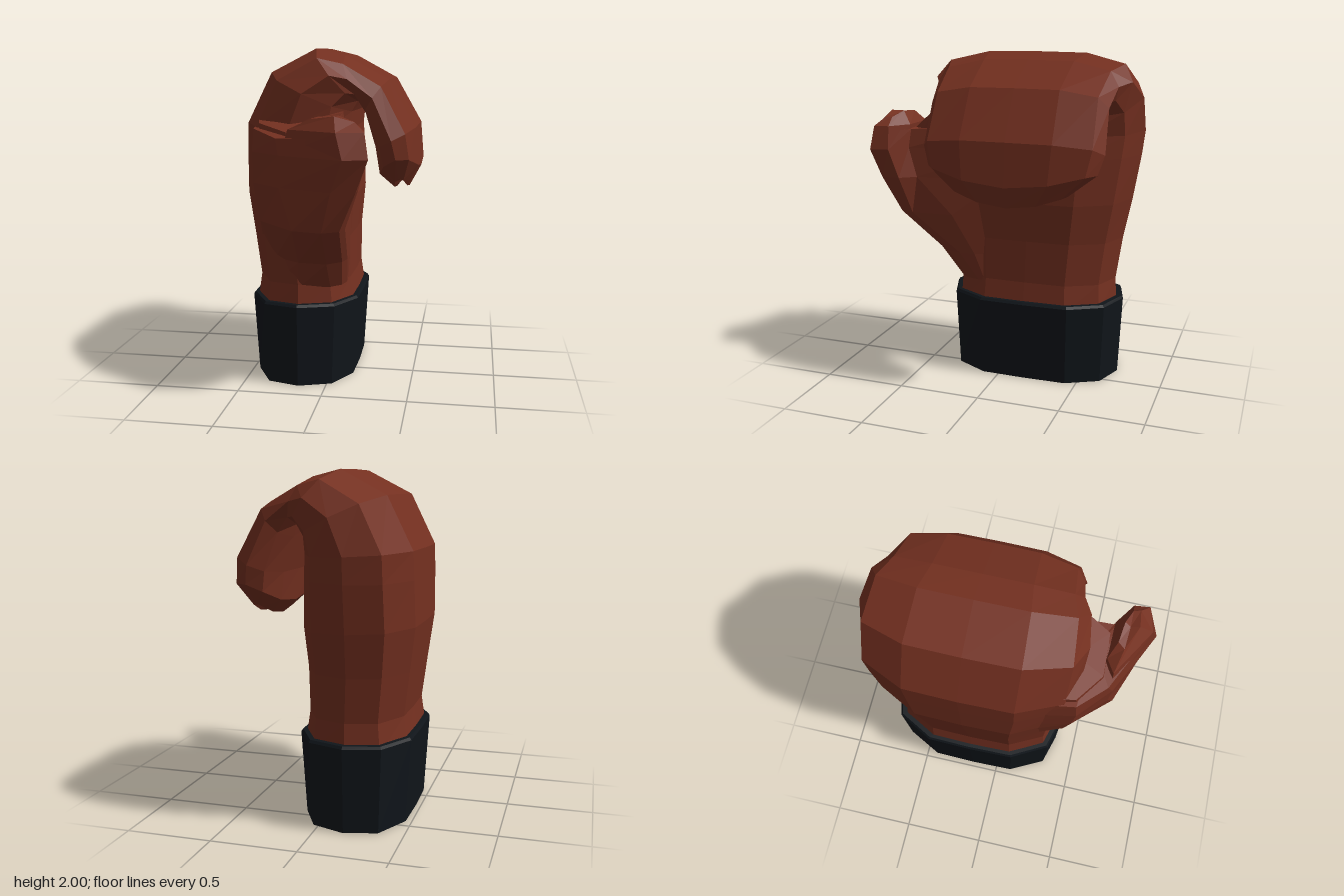
import * as THREE from 'three';

// Joins rings of [x, y, z] points (counter-clockwise seen from above) and closes both ends
function loft(rings) {
  const pos = [];
  const tri = (a, b, c) => pos.push(...a, ...b, ...c);
  const centre = (r) => [0, 1, 2].map((k) => r.reduce((s, p) => s + p[k], 0) / r.length);
  const n = rings[0].length;
  const first = rings[0], last = rings[rings.length - 1];
  const c0 = centre(first), c1 = centre(last);
  for (let j = 0; j < n; j++) {
    const k = (j + 1) % n;
    for (let i = 0; i < rings.length - 1; i++) {
      const a = rings[i][j], b = rings[i][k], c = rings[i + 1][k], d = rings[i + 1][j];
      tri(a, b, c);
      tri(a, c, d);
    }
    tri(c0, first[k], first[j]);
    tri(c1, last[j], last[k]);
  }
  const geo = new THREE.BufferGeometry();
  geo.setAttribute('position', new THREE.Float32BufferAttribute(pos, 3));
  geo.computeVertexNormals();
  return geo;
}

// Twelve-sided section: share of the thickness (outer to inner) and of the half width
const SECTION = [
  [0, 0], [0.01, 0.5], [0.19, 0.9], [0.5, 1], [0.82, 0.87], [0.99, 0.5],
  [1, 0], [0.99, -0.5], [0.82, -0.87], [0.5, -1], [0.19, -0.9], [0.01, -0.5],
];

// Ring between an outer and an inner point; lift raises its two ends
const section = ([ox, oy, ix, iy, zc, half, lift = 0]) =>
  SECTION.map(([u, w]) => [ox + (ix - ox) * u, oy + (iy - oy) * u + lift * w * w, zc + half * w]);

export function createModel() {
  const group = new THREE.Group();
  const leather = new THREE.MeshStandardMaterial({ color: 0x743020, flatShading: true });
  const cloth = new THREE.MeshStandardMaterial({ color: 0x10151a, flatShading: true });
  const add = (name, rings, material) => {
    const mesh = new THREE.Mesh(loft(rings), material);
    mesh.name = name;
    group.add(mesh);
  };

  // Cuff with a slightly bevelled rim
  add('cuff', [
    [-0.47, 0, 0.14, 0, -0.167, 0.532],
    [-0.5, 0.49, 0.17, 0.49, -0.168, 0.553],
    [-0.49, 0.505, 0.16, 0.505, -0.168, 0.543],
  ].map(section), cloth);

  // Hand from the wrist up over the knuckles and down to the curled fingertips:
  // outer x, y, inner x, y, centre z, half width, lift
  add('hand', [
    [-0.475, 0.45, 0.145, 0.45, -0.165, 0.515],
    [-0.45, 0.62, 0.12, 0.62, -0.165, 0.505],
    [-0.485, 0.88, 0.12, 0.88, -0.175, 0.53],
    [-0.52, 1.14, 0.14, 1.12, -0.18, 0.575],
    [-0.515, 1.4, 0.13, 1.4, -0.18, 0.62],
    [-0.51, 1.56, 0.12, 1.53, -0.185, 0.632],
    [-0.36, 1.86, 0.13, 1.63, -0.18, 0.635],
    [-0.09, 2.0, 0.16, 1.69, -0.175, 0.6],
    [0.08, 1.96, 0.18, 1.69, -0.17, 0.545],
    [0.34, 1.82, 0.2, 1.62, -0.17, 0.525],
    [0.5, 1.54, 0.26, 1.42, -0.17, 0.535],
    [0.52, 1.29, 0.285, 1.23, -0.17, 0.5, 0.11],
    [0.45, 1.16, 0.37, 1.15, -0.16, 0.35, 0.09],
  ].map(section), leather);

  const level = ([y, ...points]) => points.map(([x, z, dy = 0]) => [x, y + dy, z]);

  // Thumb base growing out of the front of the hand: height, then x, z points
  add('thumbBase', [
    [0.6, [-0.38, 0.1], [-0.33, 0.22], [-0.16, 0.32], [0.02, 0.28], [0.08, 0.22], [0.1, 0.14], [0.1, 0.1], [0.08, 0]],
    [0.77, [-0.42, 0.1], [-0.31, 0.28], [-0.15, 0.4], [0.02, 0.42], [0.1, 0.34], [0.12, 0.26], [0.12, 0.16], [0.08, 0]],
    [1.01, [-0.46, 0.1], [-0.37, 0.4], [-0.13, 0.66], [0.04, 0.7], [0.13, 0.64], [0.15, 0.56], [0.14, 0.3], [0.1, 0]],
    [1.24, [-0.47, 0.1], [-0.4, 0.44], [-0.21, 0.62], [0.1, 0.76], [0.23, 0.72], [0.23, 0.61], [0.16, 0.52], [0.1, 0]],
    [1.42, [-0.47, 0.1], [-0.4, 0.46], [-0.21, 0.63], [0.17, 0.815], [0.3, 0.76], [0.28, 0.65], [0.16, 0.57], [0.1, 0]],
    [1.53, [-0.45, 0.1, 0.03], [-0.39, 0.45, 0.02], [-0.23, 0.6, -0.02], [0.13, 0.77], [0.26, 0.73], [0.25, 0.64], [0.14, 0.56], [0.1, 0, 0.05]],
  ].map(level), leather);

  // Rounded thumb tip standing above the web
  add('thumbTip', [
    [1.42, [-0.2, 0.62], [0.17, 0.815], [0.3, 0.76], [0.28, 0.65], [0.16, 0.57], [-0.1, 0.54]],
    [1.56, [-0.16, 0.61], [0.13, 0.78], [0.275, 0.74], [0.265, 0.65], [0.14, 0.565], [-0.08, 0.56]],
    [1.64, [-0.03, 0.64, -0.02], [0.11, 0.7], [0.22, 0.69, -0.03], [0.21, 0.65, -0.03], [0.12, 0.615], [0, 0.6, -0.01]],
  ].map(level), leather);

  // Web bridging the thumb and the folded fingers
  add('thumbWeb', [
    [1.4, [-0.42, 0.2], [-0.36, 0.47], [-0.18, 0.58], [0.1, 0.57], [0.13, 0.42], [0.1, 0.15]],
    [1.54, [-0.42, 0.2, 0.1], [-0.36, 0.44, 0.04], [-0.18, 0.56], [0.08, 0.55], [0.11, 0.43, 0.1], [0.08, 0.15, 0.1]],
  ].map(level), leather);

  return group;
}
